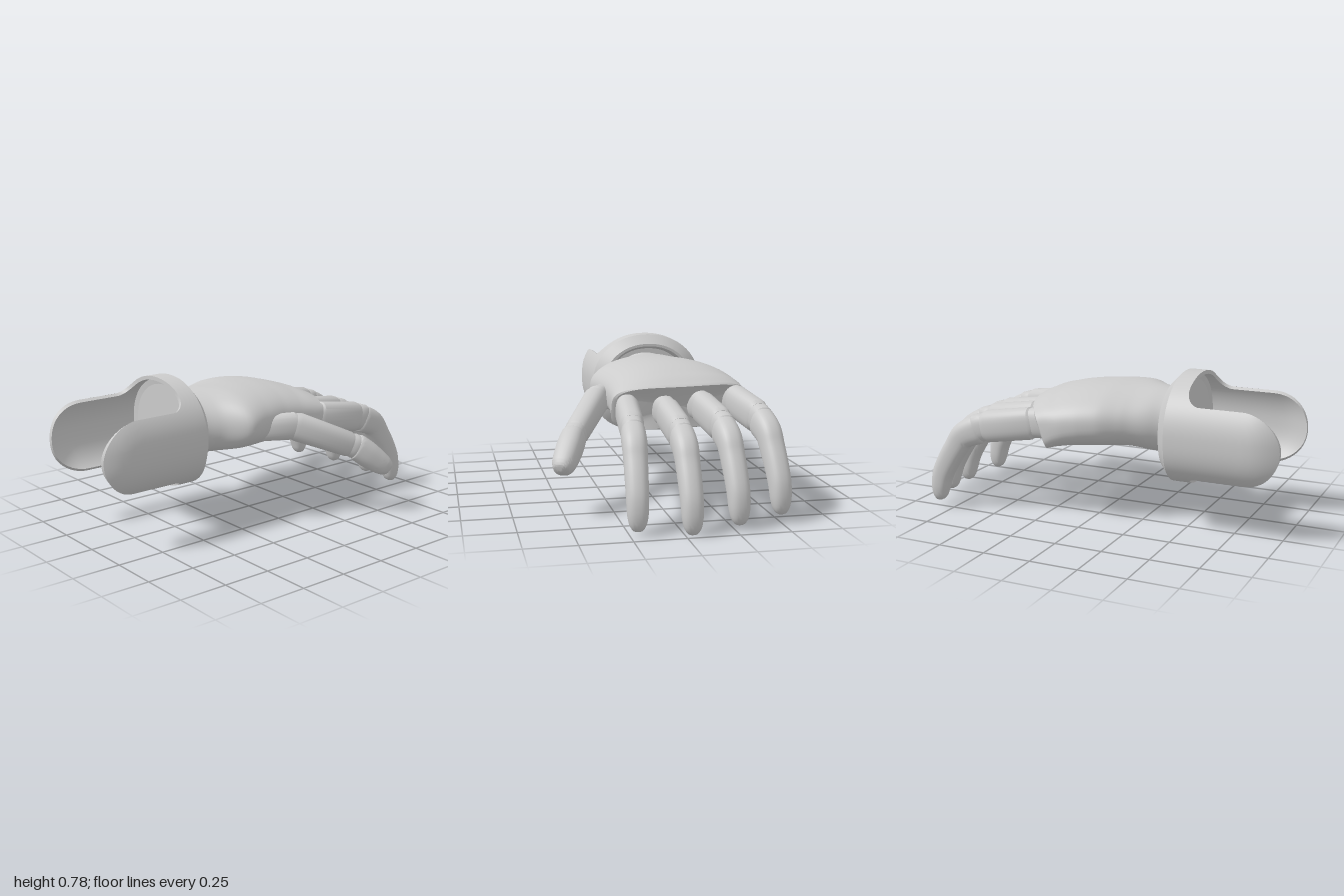
import * as THREE from 'three';
import { toCreasedNormals } from 'three/addons/utils/BufferGeometryUtils.js';

const material = new THREE.MeshStandardMaterial({ color: 0xcccccc });
const V = (x, y, z) => new THREE.Vector3(x, y, z);

function mesh(name, geometry) {
  const m = new THREE.Mesh(geometry, material);
  m.name = name;
  return m;
}

// Skin over rings of points, running along +x, each ring turning from +y to +z
function loft(rings, capped = true, crease = 0.6) {
  const pos = [];
  const tri = (...pts) => pts.forEach((p) => pos.push(p.x, p.y, p.z));
  const n = rings[0].length;
  for (let i = 0; i < rings.length - 1; i++) {
    for (let j = 0; j < n; j++) {
      const k = (j + 1) % n, r = rings[i], s = rings[i + 1];
      tri(r[j], r[k], s[j]);
      tri(r[k], s[k], s[j]);
    }
  }
  if (capped) {
    [rings[0], rings[rings.length - 1]].forEach((ring, end) => {
      const c = V(0, 0, 0);
      ring.forEach((p) => c.addScaledVector(p, 1 / n));
      for (let j = 0; j < n; j++) {
        const k = (j + 1) % n;
        if (end) tri(c, ring[j], ring[k]);
        else tri(c, ring[k], ring[j]);
      }
    });
  }
  const g = new THREE.BufferGeometry();
  g.setAttribute('position', new THREE.Float32BufferAttribute(pos, 3));
  return toCreasedNormals(g, crease);
}

const power = (v, n) => Math.sign(v) * Math.pow(Math.abs(v), 2 / n);

// Limb in the xy plane; stations are [x, y, halfHeight, halfWidth]
function limb(stations, smooth = false) {
  let st = stations;
  if (smooth) {
    const path = new THREE.CatmullRomCurve3(st.map((s) => V(s[0], s[1], 0)));
    const size = new THREE.CatmullRomCurve3(st.map((s) => V(s[2], s[3], 0)));
    st = [];
    for (let i = 0; i <= 32; i++) {
      const p = path.getPoint(i / 32), q = size.getPoint(i / 32);
      st.push([p.x, p.y, q.x, q.y]);
    }
  }
  const rings = st.map((s, i) => {
    const a = st[Math.max(i - 1, 0)], b = st[Math.min(i + 1, st.length - 1)];
    const t = new THREE.Vector2(b[0] - a[0], b[1] - a[1]).normalize();
    return Array.from({ length: 32 }, (_, j) => {
      const ang = (j / 32) * Math.PI * 2;
      const h = s[2] * power(Math.cos(ang), 2.5), w = s[3] * power(Math.sin(ang), 2.5);
      return V(s[0] - t.y * h, s[1] + t.x * h, w);
    });
  });
  return loft(rings, true, smooth ? 1.0 : 0.5);
}

// Forearm cuff: a chamfered ring with two rounded side flaps
function cuffGeometry() {
  const yc = 0.505, zc = -0.115, a = 0.315, b = 0.28, cols = [];
  const sweep = (n, from, to, fn) => {
    for (let i = 0; i <= n; i++) cols.push(fn(THREE.MathUtils.degToRad(from + ((to - from) * i) / n)));
  };
  // [y, x] of the back edge, from the top down one side
  sweep(8, 90, 58, (t) => [yc + b * Math.sin(t), -0.52]);
  sweep(8, 0, 90, (t) => [0.74 - 0.08 * Math.sin(t), -0.6 + 0.08 * Math.cos(t)]);
  sweep(28, 90, -90, (t) => [0.473 + 0.1875 * Math.sin(t), -0.8125 - 0.1875 * Math.cos(t)]);
  sweep(8, 90, 0, (t) => [0.232 + 0.053 * Math.sin(t), -0.573 + 0.053 * Math.cos(t)]);
  sweep(6, -78, -90, (t) => [yc + b * Math.sin(t), -0.52]);
  const loop = [
    ...cols.map(([y, x]) => ({ y, x, side: 1 })),
    ...cols.slice().reverse().map(([y, x]) => ({ y, x, side: -1 })),
  ];
  const ring = (scale, xAt) => loop.map((c) => {
    const x = xAt(c), t = Math.min(1, Math.abs(c.y - yc) / b), n = c.y > yc ? 2.1 : 2.6;
    // Flap tips curl gently inwards
    const tip = Math.max(0, (-0.85 - x) / 0.15);
    const z = a * Math.pow(1 - Math.pow(t, n), 1 / n) * scale - 0.055 * tip * tip;
    return V(x, yc + (c.y - yc) * scale, zc + z * c.side);
  });
  const rings = [];
  const along = (i) => (c) => c.x + (-0.5 - c.x) * (i / 10) ** 1.5;
  for (let i = 0; i <= 10; i++) rings.push(ring(1, along(i)));
  [[1, -0.43], [0.82, -0.38], [0.77, -0.38], [0.72, -0.41], [0.72, -0.46], [0.93, -0.47]]
    .forEach(([s, x]) => rings.push(ring(s, () => x)));
  for (let i = 10; i >= 0; i--) rings.push(ring(0.93, along(i)));
  rings.push(rings[0]);
  return loft(rings, false, 0.5);
}

// Palm: sections [zMin, zMax, top, bottom, squareness, position]
function palmGeometry() {
  const key = [
    [-0.3, 0.09, 0.68, 0.35, 2, 0], [-0.3, 0.09, 0.68, 0.35, 2, 0.09],
    [-0.345, 0.14, 0.69, 0.355, 2, 0.2], [-0.4, 0.258, 0.698, 0.37, 2.1, 0.35],
    [-0.458, 0.245, 0.698, 0.372, 2.2, 0.51], [-0.49, 0.222, 0.685, 0.372, 2.3, 0.68],
    [-0.507, 0.217, 0.655, 0.37, 2.6, 0.84], [-0.51, 0.225, 0.605, 0.37, 3.8, 1],
  ];
  const curve = (i) => new THREE.CatmullRomCurve3(key.map((k) => V(k[i], k[i + 1], k[i + 2])));
  const A = curve(0), B = curve(3), steps = 48, rings = [];
  for (let i = 0; i <= steps + 1; i++) {
    const t = Math.min(1, i / steps), p = A.getPoint(t), q = B.getPoint(t), u = q.z;
    const last = i > steps, shrink = last ? 0.96 : 1;
    const zc = (p.x + p.y) / 2, a = ((p.y - p.x) / 2) * shrink;
    const yc = (p.z + q.x) / 2, b = ((p.z - q.x) / 2) * shrink;
    rings.push(Array.from({ length: 72 }, (_, j) => {
      const ang = (j / 72) * Math.PI * 2, c = Math.cos(ang), s = Math.sin(ang);
      const n = c < 0 ? q.y + 0.6 * u : q.y;
      let y = yc + b * power(c, n);
      const z = zc + a * power(s, n);
      // Slightly hollow underside
      if (c < 0) y += 0.025 * c ** 4 * Math.sin(Math.PI * u) * u;
      // Arched knuckle line, leaning back towards the palm side
      const xEnd = 0.385 - 0.6 * (z + 0.03) ** 2;
      const lean = (0.085 * u ** 4 * (p.z - y)) / (p.z - q.x);
      return V(-0.45 + u * (xEnd + 0.45) - lean + (last ? 0.006 : 0), y, z);
    }));
  }
  return loft(rings, true, 0.7);
}

// A digit is a group of jointed limbs, turned about the vertical
function digit(name, parts, x, y, z, yaw) {
  const g = new THREE.Group();
  g.name = name;
  parts.forEach(([part, geometry]) => g.add(mesh(part, geometry)));
  g.position.set(x, y, z);
  g.rotation.y = -yaw;
  return g;
}

export function createModel() {
  const model = new THREE.Group();
  model.name = 'prostheticHand';
  model.add(mesh('forearmCuff', cuffGeometry()), mesh('palm', palmGeometry()));

  // Plate closing the gap between wrist and cuff
  const plate = mesh('wristPlate', new THREE.CylinderGeometry(1, 1, 0.03, 64));
  plate.geometry.scale(0.235, 1, 0.265).rotateZ(Math.PI / 2);
  plate.position.set(-0.45, 0.505, -0.115);
  model.add(plate);

  // Four matching fingers
  const fingerParts = [
    ['knuckle', limb([[-0.1, 0.475, 0.06, 0.05], [-0.08, 0.475, 0.08, 0.058], [0.04, 0.472, 0.078, 0.053], [0.07, 0.468, 0.065, 0.048]])],
    ['proximalSegment', limb([[0.03, 0.47, 0.07, 0.052], [0.05, 0.467, 0.084, 0.061], [0.29, 0.433, 0.084, 0.059], [0.315, 0.43, 0.072, 0.053]])],
    ['middleJoint', limb([[0.29, 0.433, 0.066, 0.05], [0.32, 0.428, 0.076, 0.055], [0.345, 0.42, 0.076, 0.055], [0.37, 0.405, 0.062, 0.049]])],
    ['fingertip', limb([[0.335, 0.418, 0.068, 0.052], [0.352, 0.411, 0.078, 0.059], [0.41, 0.386, 0.073, 0.06], [0.44, 0.362, 0.068, 0.059],
      [0.468, 0.32, 0.064, 0.057], [0.518, 0.24, 0.061, 0.055], [0.56, 0.155, 0.056, 0.053], [0.576, 0.085, 0.049, 0.05],
      [0.58, 0.038, 0.039, 0.041], [0.58, 0.012, 0.024, 0.026], [0.579, 0.003, 0.006, 0.007]], true)],
  ];
  [
    ['indexFinger', 0.325, 0.015, 0.15, 0.105], ['middleFinger', 0.373, 0, -0.045, 0.016],
    ['ringFinger', 0.33, 0.02, -0.235, -0.065], ['littleFinger', 0.25, 0.035, -0.43, -0.13],
  ].forEach(([name, x, y, z, yaw]) => model.add(digit(name, fingerParts, x, y, z, yaw)));

  // Thumb
  const thumbParts = [
    ['thumbBase', limb([[-0.12, 0.49, 0.04, 0.03], [-0.08, 0.497, 0.068, 0.05], [0.1, 0.502, 0.072, 0.057], [0.15, 0.485, 0.06, 0.05]])],
    ['thumbSegment', limb([[0.09, 0.503, 0.065, 0.053], [0.12, 0.496, 0.076, 0.062], [0.4, 0.387, 0.067, 0.059], [0.42, 0.38, 0.058, 0.052]])],
    ['thumbJoint', limb([[0.4, 0.387, 0.058, 0.052], [0.425, 0.378, 0.065, 0.057], [0.445, 0.368, 0.065, 0.057], [0.47, 0.35, 0.055, 0.05]])],
    ['thumbTip', limb([[0.435, 0.375, 0.06, 0.052], [0.45, 0.367, 0.07, 0.06], [0.5, 0.33, 0.071, 0.064],
      [0.565, 0.282, 0.063, 0.061], [0.602, 0.256, 0.054, 0.055], [0.627, 0.239, 0.038, 0.04], [0.637, 0.232, 0.01, 0.01]], true)],
  ];
  model.add(digit('thumb', thumbParts, 0, 0, 0.215, 0.5));
  return model;
}
